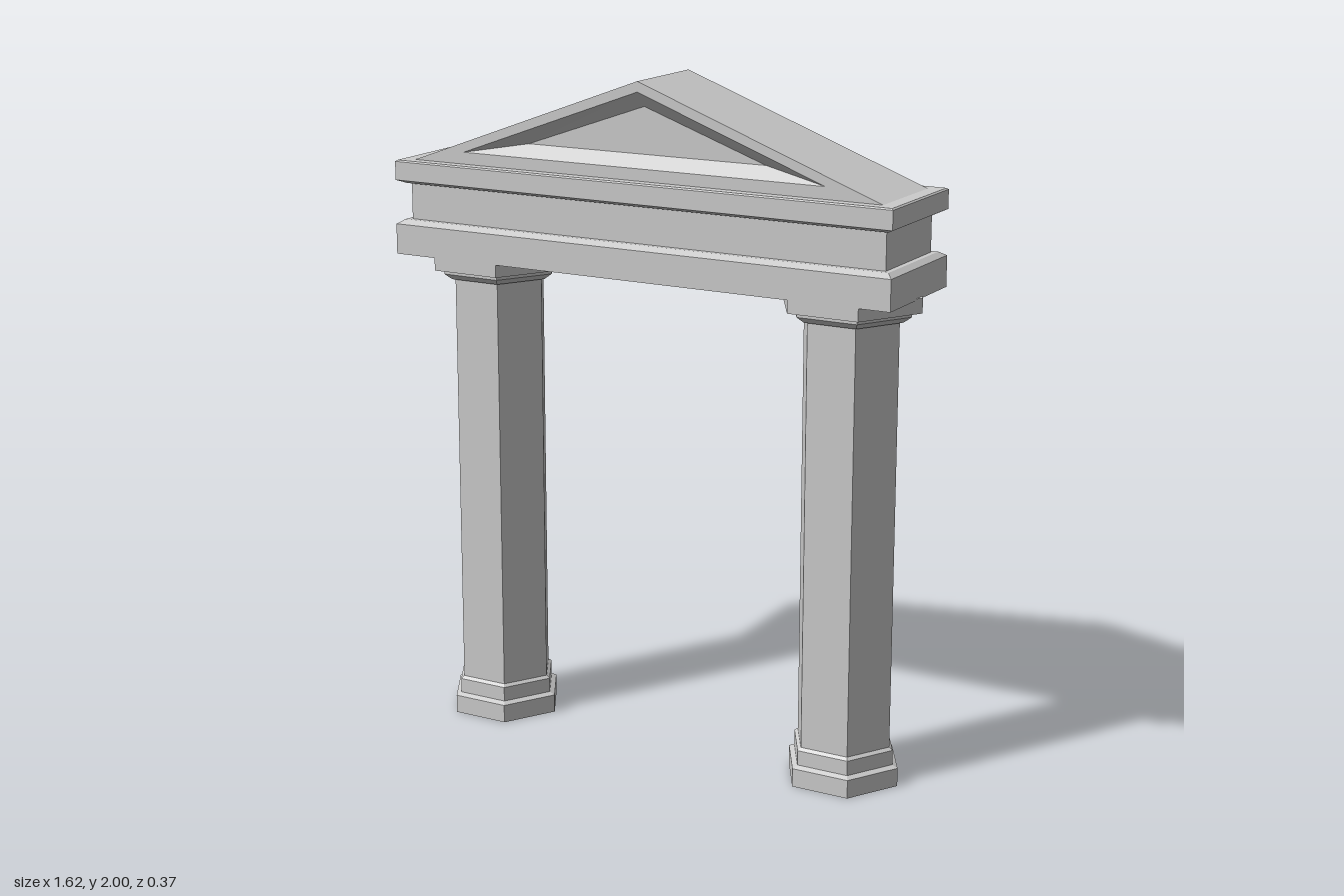
import * as THREE from 'three';

const stone = new THREE.MeshStandardMaterial({ color: 0xcccccc, flatShading: true });

// Skin a stack of equal-length rings (counter-clockwise seen from the end) and cap both ends
function loft(rings) {
  const n = rings[0].length, last = rings.length - 1, pos = [];
  const tri = (a, b, c) => pos.push(...a, ...b, ...c);
  for (let i = 0; i < last; i++) {
    for (let j = 0; j < n; j++) {
      const k = (j + 1) % n;
      tri(rings[i][j], rings[i][k], rings[i + 1][k]);
      tri(rings[i][j], rings[i + 1][k], rings[i + 1][j]);
    }
  }
  for (let j = 1; j < n - 1; j++) {
    tri(rings[0][0], rings[0][j + 1], rings[0][j]);
    tri(rings[last][0], rings[last][j], rings[last][j + 1]);
  }
  const geometry = new THREE.BufferGeometry();
  geometry.setAttribute('position', new THREE.Float32BufferAttribute(pos, 3));
  geometry.computeVertexNormals();
  return geometry;
}

function addPart(parent, name, geometry) {
  const mesh = new THREE.Mesh(geometry, stone);
  mesh.name = name;
  parent.add(mesh);
  return mesh;
}

// Six-sided turned piece from [radius, height] pairs, with corners on the x axis
function hexagon(profile) {
  const points = profile.map(([r, y]) => new THREE.Vector2(r, y));
  return new THREE.LatheGeometry(points, 6, Math.PI / 2);
}

function createColumn(name, x) {
  const column = new THREE.Group();
  column.name = name;
  column.position.x = x;
  addPart(column, 'base', hexagon([
    [0, 0], [0.175, 0], [0.175, 0.055], [0.158, 0.063], [0.158, 0.107], [0.147, 0.115], [0, 0.115],
  ]));
  addPart(column, 'shaft', hexagon([[0.147, 0.11], [0.147, 1.385]]));
  addPart(column, 'capital', hexagon([
    [0, 1.37], [0.158, 1.37], [0.183, 1.388], [0.183, 1.398], [0.214, 1.402], [0.214, 1.445], [0, 1.445],
  ]));
  return column;
}

// Rectangular moulding from [half width, half depth, height] steps
function moulding(steps) {
  return loft(steps.map(([w, d, y]) => [[w, y, d], [w, y, -d], [-w, y, -d], [-w, y, d]]));
}

// Triangular gable with a bevelled recess sunk into both faces
function gable() {
  const outer = [0.77, 1.715, 2.0], rim = [0.585, 1.755, 1.97], floor = [0.385, 1.79, 1.925];
  const ring = ([w, y, apex], z) => [[-w, y, z], [w, y, z], [0, apex, z]];
  const face = 0.147, sunk = 0.107;
  return loft([
    ring(floor, -sunk), ring(rim, -face), ring(outer, -face),
    ring(outer, face), ring(rim, face), ring(floor, sunk),
  ]);
}

export function createModel() {
  const model = new THREE.Group();
  model.name = 'archway';

  // Columns
  model.add(createColumn('rightColumn', -0.57), createColumn('leftColumn', 0.594));

  // Entablature and pediment
  const top = new THREE.Group();
  top.name = 'entablature';
  top.position.x = -0.007;
  model.add(top);
  addPart(top, 'beam', moulding([
    [0.803, 0.187, 1.44], [0.803, 0.187, 1.53], [0.785, 0.165, 1.542],
  ]));
  addPart(top, 'frieze', moulding([[0.77, 0.149, 1.535], [0.77, 0.149, 1.66]]));
  addPart(top, 'cornice', moulding([
    [0.78, 0.16, 1.65], [0.803, 0.185, 1.661], [0.803, 0.185, 1.716], [0.798, 0.18, 1.72],
  ]));
  addPart(top, 'pediment', gable());

  return model;
}
